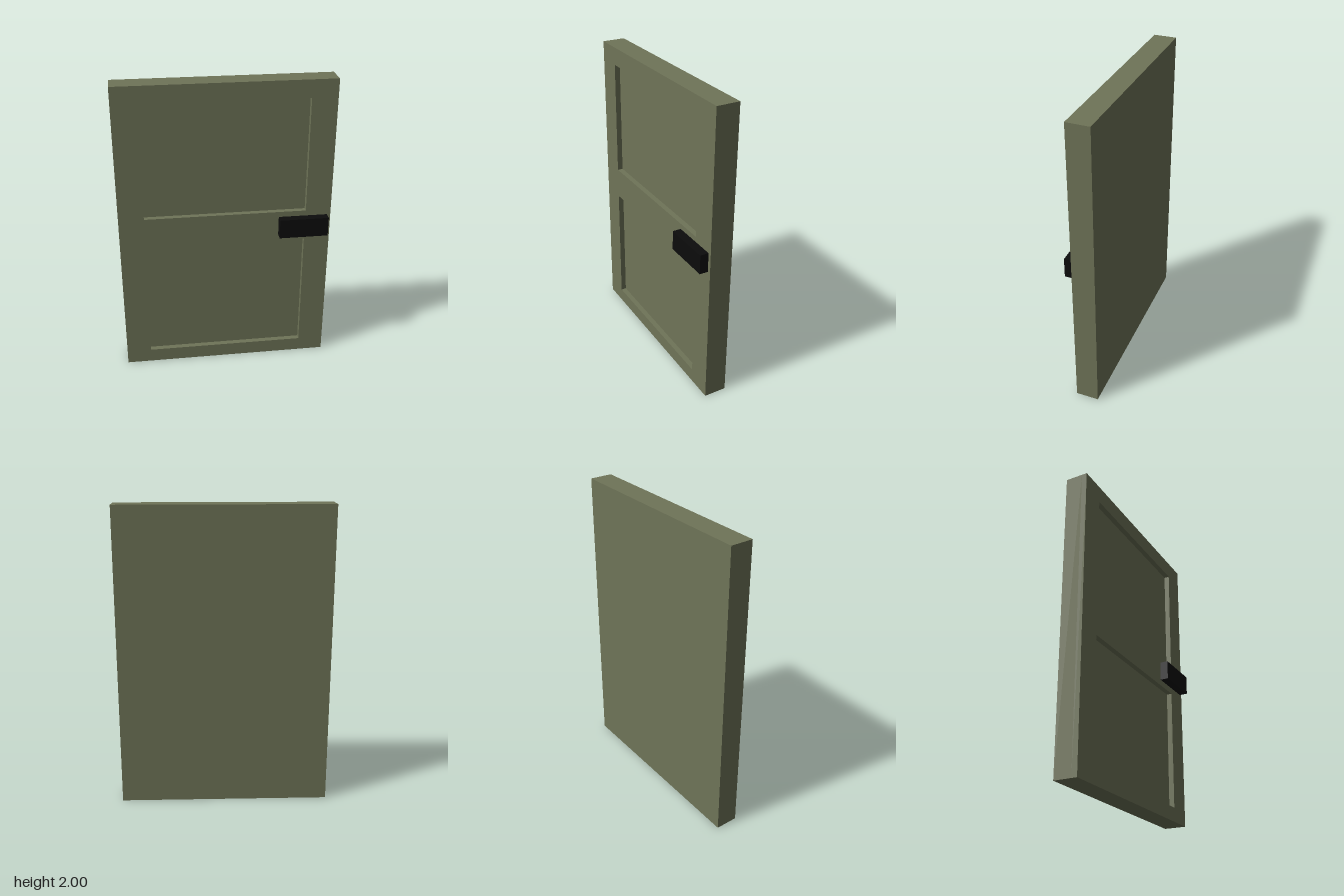
import * as THREE from 'three';

const W = 1.394, H = 2;                        // door leaf
const BACK = -0.103, FRONT = 0.047, RECESS = 0.036;

// Rectangle outline from two corners
function rect(Type, x0, y0, x1, y1) {
  return new Type([[x0, y0], [x1, y0], [x1, y1], [x0, y1]].map(([x, y]) => new THREE.Vector2(x, y)));
}

// Box from its minimum and maximum corners
function box(name, material, min, max) {
  const size = max.map((v, i) => v - min[i]);
  const mesh = new THREE.Mesh(new THREE.BoxGeometry(...size), material);
  mesh.position.set(...max.map((v, i) => (v + min[i]) / 2));
  mesh.name = name;
  return mesh;
}

export function createModel() {
  const group = new THREE.Group();
  group.name = 'door';
  const paint = new THREE.MeshStandardMaterial({ color: 0x6f7458 });
  const black = new THREE.MeshStandardMaterial({ color: 0x0c0c0c });

  // Solid slab, its front forms the floor of both recesses
  group.add(box('doorSlab', paint, [-W / 2, 0, BACK], [W / 2, H, FRONT - RECESS]));

  // Raised frame with an upper and a lower panel opening
  const outline = rect(THREE.Shape, -W / 2, 0, W / 2, H);
  outline.holes.push(
    rect(THREE.Path, -0.532, 1.12, 0.53, 1.883),
    rect(THREE.Path, -0.532, 0.094, 0.527, 0.912),
  );
  const frame = new THREE.Mesh(
    new THREE.ExtrudeGeometry(outline, { depth: RECESS, bevelEnabled: false }), paint);
  frame.position.z = FRONT - RECESS;
  frame.name = 'panelFrame';
  group.add(frame);

  // Block handle on the front
  group.add(box('handle', black, [0.35, 0.954, FRONT], [0.673, 1.084, 0.103]));

  return group;
}
